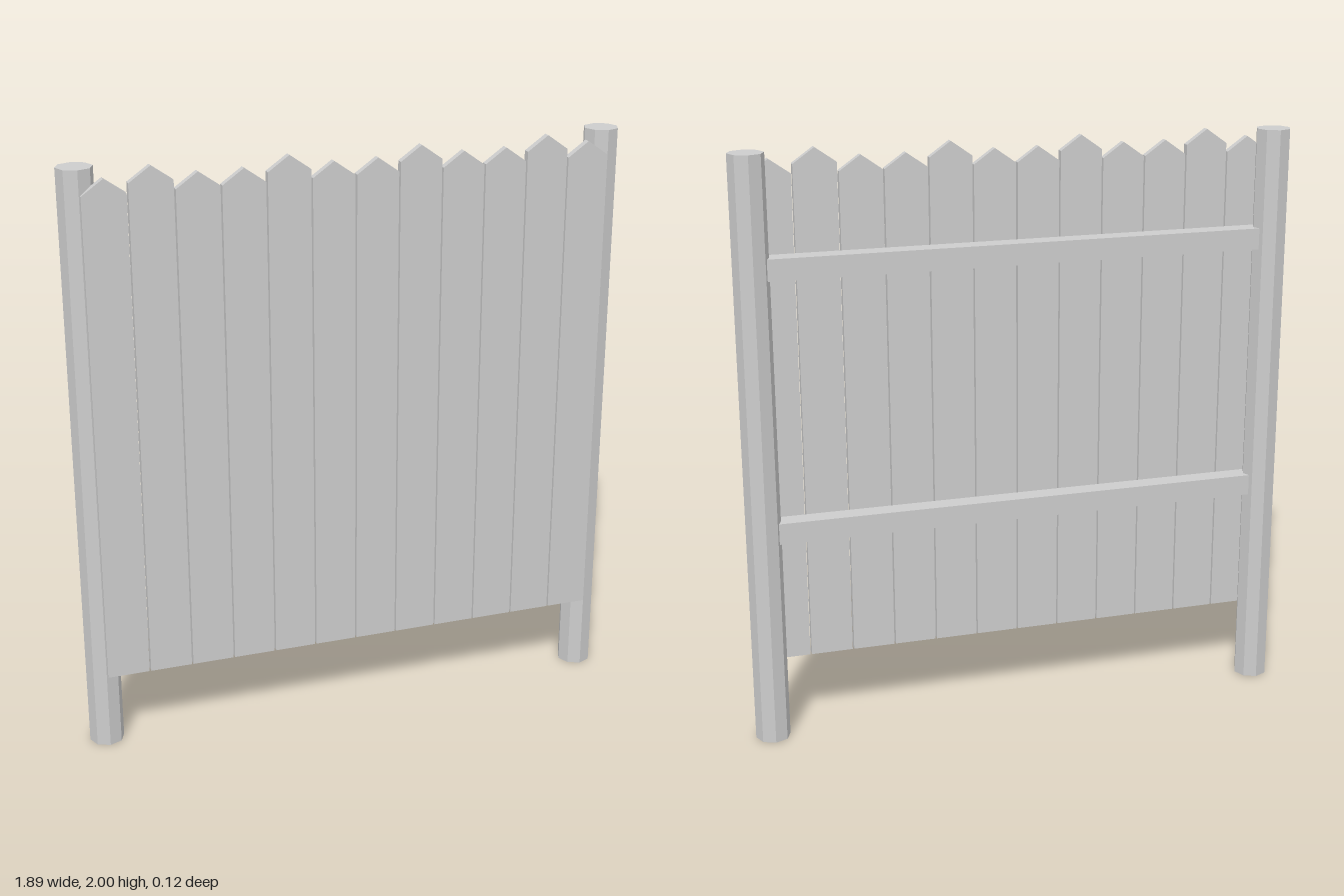
import * as THREE from 'three';

export function createModel() {
  const fence = new THREE.Group();
  fence.name = 'fencePanel';
  const wood = new THREE.MeshStandardMaterial({ color: 0xcccccc, flatShading: true });
  wood.name = 'greyWood';

  const add = (name, geometry, x, y, z) => {
    const mesh = new THREE.Mesh(geometry, wood);
    mesh.name = name;
    mesh.position.set(x, y, z);
    fence.add(mesh);
  };

  // Eight-sided end posts
  const post = new THREE.CylinderGeometry(0.059, 0.059, 2, 8);
  add('leftPost', post, 0.886, 1, -0.004);
  add('rightPost', post, -0.886, 1, -0.004);

  // Horizontal rails running into the posts
  const rail = new THREE.BoxGeometry(1.72, 0.072, 0.068);
  add('lowerRail', rail, 0, 0.742, 0.003);
  add('upperRail', rail, 0, 1.63, 0.003);

  // Pointed pickets, every third one taller
  const count = 12, pitch = 0.1475, half = 0.071, bottom = 0.265;
  const picket = (tip) => {
    const shape = new THREE.Shape([
      new THREE.Vector2(-half, 0),
      new THREE.Vector2(half, 0),
      new THREE.Vector2(half, tip - 0.05 - bottom),
      new THREE.Vector2(0, tip - bottom),
      new THREE.Vector2(-half, tip - 0.05 - bottom),
    ]);
    return new THREE.ExtrudeGeometry(shape, { depth: 0.025, bevelEnabled: false });
  };
  const tall = picket(2), short = picket(1.97);
  for (let i = 0; i < count; i++) {
    const x = (i - (count - 1) / 2) * pitch;
    add(`picket${i + 1}`, i % 3 === 1 ? tall : short, x, bottom, 0.037);
  }
  return fence;
}
